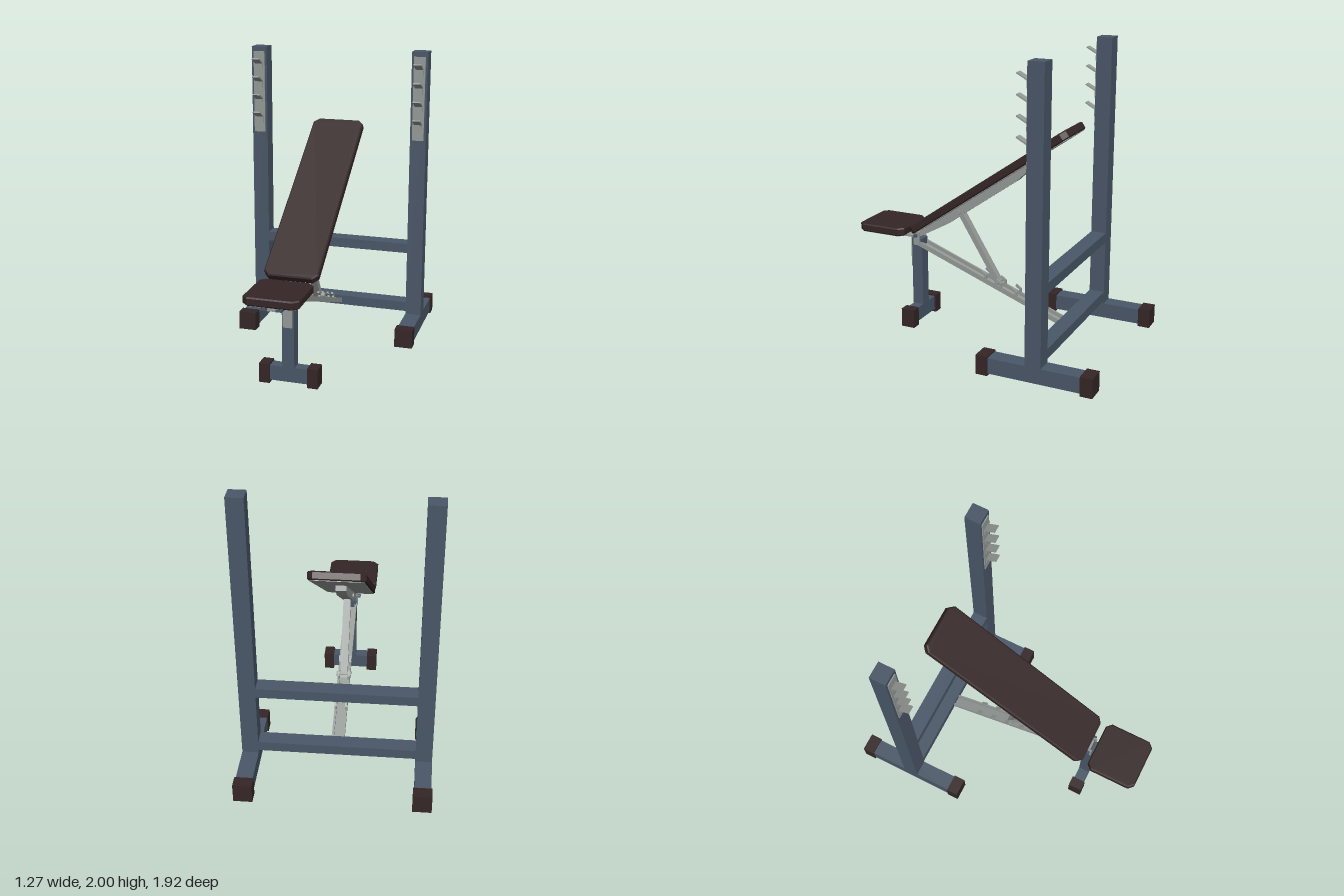
import * as THREE from 'three';

const steel = new THREE.MeshStandardMaterial({ color: 0x4a5768 });
steel.name = 'blue steel';
const leather = new THREE.MeshStandardMaterial({ color: 0x352626 });
leather.name = 'dark brown';
const metal = new THREE.MeshStandardMaterial({ color: 0x959a97 });
metal.name = 'grey metal';

function add(parent, name, geometry, material) {
  const mesh = new THREE.Mesh(geometry, material);
  mesh.name = name;
  parent.add(mesh);
  return mesh;
}

// Box given by its min and max on each axis
function box(parent, name, material, [x0, x1], [y0, y1], [z0, z1]) {
  const mesh = add(parent, name, new THREE.BoxGeometry(x1 - x0, y1 - y0, z1 - z0), material);
  mesh.position.set((x0 + x1) / 2, (y0 + y1) / 2, (z0 + z1) / 2);
  return mesh;
}

// Side profile of (z, y) points, extruded across x and centred on cx
function profile(parent, name, material, points, width, cx = 0) {
  const shape = new THREE.Shape(points.map(([z, y]) => new THREE.Vector2(z, y)));
  const geometry = new THREE.ExtrudeGeometry(shape, { depth: width, bevelEnabled: false });
  geometry.rotateY(-Math.PI / 2).translate(cx + width / 2, 0, 0);
  return add(parent, name, geometry, material);
}

// Straight flat bar between two (z, y) points
function bar(parent, name, material, [z0, y0], [z1, y1], thickness, width, cx = 0) {
  const length = Math.hypot(z1 - z0, y1 - y0);
  const nz = -(y1 - y0) / length * thickness / 2;
  const ny = (z1 - z0) / length * thickness / 2;
  return profile(parent, name, material, [
    [z0 + nz, y0 + ny], [z0 - nz, y0 - ny], [z1 - nz, y1 - ny], [z1 + nz, y1 + ny],
  ], width, cx);
}

// Flat slab with cut corners, lying on y = 0
function slab(width, length, thickness, cut, bevel) {
  const x = width / 2 - bevel, y = length / 2 - bevel;
  const shape = new THREE.Shape([
    [-x + cut, -y], [x - cut, -y], [x, -y + cut], [x, y - cut],
    [x - cut, y], [-x + cut, y], [-x, y - cut], [-x, -y + cut],
  ].map(([a, b]) => new THREE.Vector2(a, b)));
  const geometry = new THREE.ExtrudeGeometry(shape, {
    depth: thickness - 2 * bevel, bevelEnabled: bevel > 0,
    bevelSize: bevel, bevelThickness: bevel, bevelSegments: 1,
  });
  return geometry.rotateX(-Math.PI / 2).translate(0, bevel, 0);
}

// Pad with a grey board underneath
function pad(name, width, length, thickness) {
  const group = new THREE.Group();
  group.name = name;
  add(group, name + 'Cushion', slab(width, length, thickness, 0.03, 0.008), leather);
  add(group, name + 'Board', slab(width - 0.025, length - 0.025, 0.006, 0.028, 0), metal).position.y = -0.004;
  return group;
}

function crossPin(parent, name, material, radius, length, y, z) {
  const mesh = add(parent, name, new THREE.CylinderGeometry(radius, radius, length, 12).rotateZ(Math.PI / 2), material);
  mesh.position.set(0, y, z);
}

export function createModel() {
  const model = new THREE.Group();
  model.name = 'weightBench';

  // Rack: uprights, feet and bar catches on both sides
  for (const [side, s] of [['left', 1], ['right', -1]]) {
    const rack = new THREE.Group();
    rack.name = side + 'Rack';
    rack.position.x = s * 0.573;
    model.add(rack);
    box(rack, 'upright', steel, [-0.055, 0.055], [0.12, 2], [-0.617, -0.51]);
    box(rack, 'foot', steel, [-0.055, 0.055], [0.015, 0.12], [-0.88, -0.25]);
    box(rack, 'frontFootCap', leather, [-0.062, 0.062], [0, 0.13], [-0.257, -0.177]);
    box(rack, 'backFootCap', leather, [-0.062, 0.062], [0, 0.13], [-0.957, -0.875]);
    box(rack, 'catchPlate', metal, [-0.04, 0.04], [1.395, 1.967], [-0.51, -0.503]);
    for (let i = 0; i < 4; i++) {
      const y = 1.882 - i * 0.1255;
      profile(rack, 'catch', metal, [
        [-0.503, y - 0.045], [-0.495, y - 0.045], [-0.495, y], [-0.428, y + 0.037],
        [-0.431, y + 0.045], [-0.503, y + 0.006],
      ], 0.053);
    }
  }
  box(model, 'upperCrossbar', steel, [-0.52, 0.52], [0.579, 0.646], [-0.616, -0.511]);
  box(model, 'lowerCrossbar', steel, [-0.52, 0.52], [0.14, 0.208], [-0.616, -0.511]);

  // Front leg
  box(model, 'frontLeg', steel, [-0.04, 0.04], [0.12, 0.605], [0.532, 0.611]);
  box(model, 'frontFoot', steel, [-0.14, 0.14], [0.02, 0.12], [0.532, 0.606]);
  for (const s of [-1, 1]) {
    const cap = box(model, 'frontLegCap', leather, [-0.035, 0.035], [0, 0.13], [0.521, 0.617]);
    cap.position.x = s * 0.16;
  }

  // Seat on its rails and L-shaped bracket
  const seat = pad('seat', 0.356, 0.349, 0.055);
  seat.position.set(0, 0.65, 0.785);
  model.add(seat);
  for (const s of [-1, 1]) {
    const rail = box(model, 'seatRail', steel, [-0.02, 0.02], [0.62, 0.647], [0.66, 0.93]);
    rail.position.x = s * 0.05;
  }
  box(model, 'seatBracketTop', metal, [-0.035, 0.035], [0.608, 0.622], [0.611, 0.9]);
  box(model, 'seatBracketFront', metal, [-0.03, 0.03], [0.395, 0.622], [0.611, 0.623]);

  // Inclined backrest with its support beam
  const backrest = pad('backrest', 0.356, 1.38, 0.055);
  const tilt = THREE.MathUtils.degToRad(35);
  backrest.rotation.x = tilt;
  backrest.position.set(0, 0.672 + 0.69 * Math.sin(tilt), 0.543 - 0.69 * Math.cos(tilt));
  model.add(backrest);
  profile(model, 'backrestBeam', metal, [
    [0.58, 0.64], [0.56, 0.615], [0.325, 0.746], [0.246, 0.803],
    [-0.177, 1.103], [-0.278, 1.2], [-0.262, 1.23],
  ], 0.07);

  // Hinge at the top of the front leg
  for (const s of [-1, 1]) {
    box(model, 'hingePlate', metal, [-0.005, 0.005], [0.56, 0.652], [0.548, 0.595]).position.x = s * 0.045;
  }
  crossPin(model, 'hingePin', steel, 0.012, 0.14, 0.63, 0.572);

  // Notched channel rail down to the lower crossbar
  for (const s of [-1, 1]) {
    bar(model, 'railSide', metal, [0.56, 0.573], [-0.511, 0.172], 0.034, 0.014, s * 0.036);
    for (let i = 0; i < 4; i++) {
      const z = 0.05 - i * 0.113, y = 0.4 - i * 0.0423;
      profile(model, 'railNotch', metal, [
        [z - 0.02, y - 0.03], [z + 0.012, y - 0.02], [z - 0.004, y + 0.012],
        [z + 0.026, y + 0.034], [z + 0.02, y + 0.048], [z - 0.018, y + 0.022],
      ], 0.014, s * 0.036);
    }
  }
  bar(model, 'railFloor', metal, [0.55, 0.558], [-0.511, 0.16], 0.008, 0.07);

  // Strut holding the backrest
  bar(model, 'strut', metal, [0.25, 0.85], [-0.055, 0.352], 0.036, 0.05);
  crossPin(model, 'strutTopPin', metal, 0.014, 0.09, 0.84, 0.243);
  crossPin(model, 'strutBottomPin', metal, 0.016, 0.1, 0.378, -0.045);

  return model;
}
